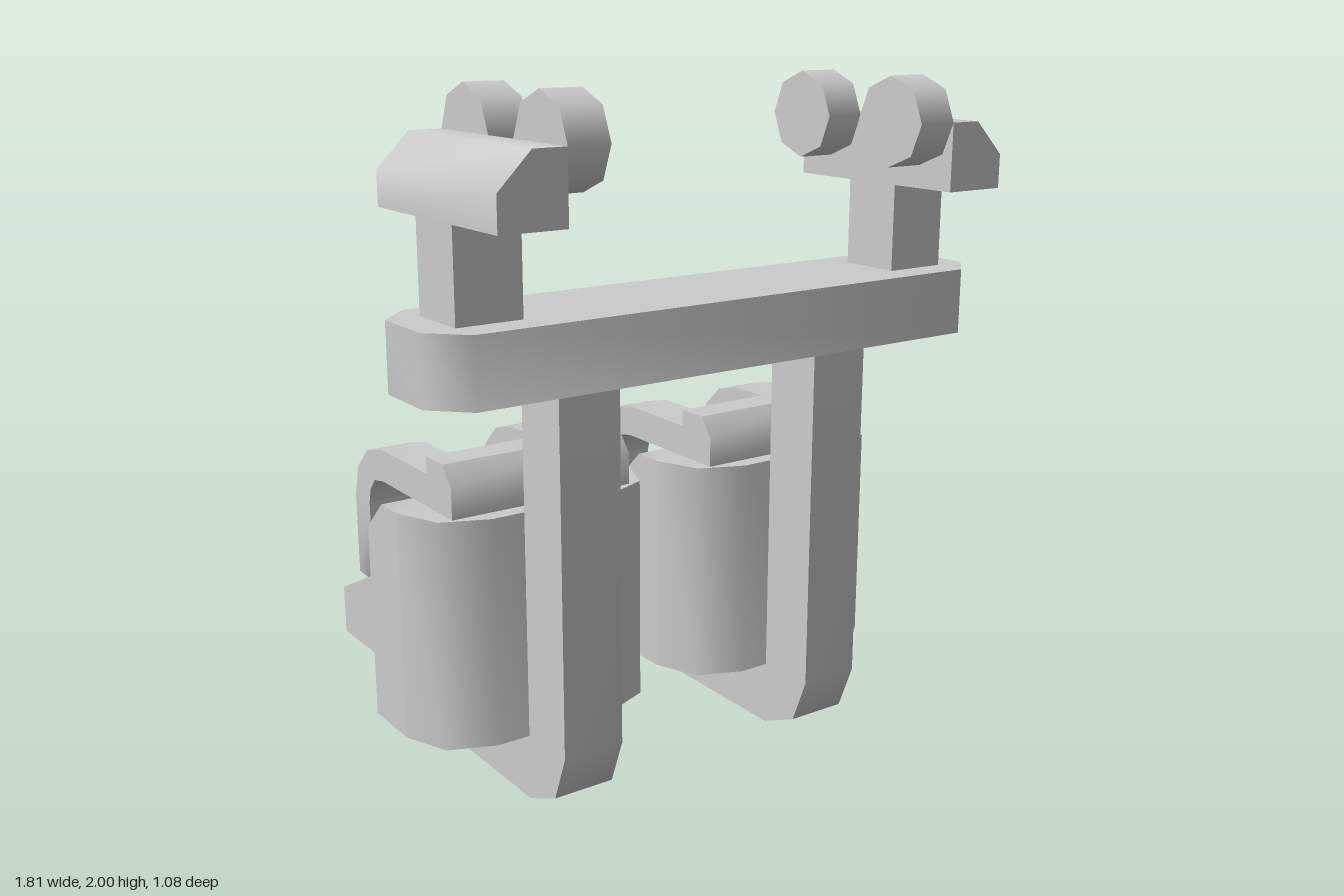
import * as THREE from 'three';
import { toCreasedNormals } from 'three/addons/utils/BufferGeometryUtils.js';

const material = new THREE.MeshStandardMaterial({ color: 0xcccccc });

function addMesh(parent, name, geometry, x = 0, y = 0, z = 0) {
  const mesh = new THREE.Mesh(geometry, material);
  mesh.name = name;
  mesh.position.set(x, y, z);
  parent.add(mesh);
  return mesh;
}

// Prism from an outline, centred on its extrusion axis; chamfers shade smoothly.
// axis 'x': outline is (z, y); axis 'y': outline is (x, z); axis 'z': outline is (x, y)
function prism(outline, depth, axis) {
  const shape = new THREE.Shape(outline.map(([u, v]) => new THREE.Vector2(u, v)));
  const geometry = new THREE.ExtrudeGeometry(shape, { depth, bevelEnabled: false });
  geometry.translate(0, 0, -depth / 2);
  if (axis === 'x') geometry.rotateY(-Math.PI / 2);
  if (axis === 'y') geometry.rotateX(Math.PI / 2);
  return toCreasedNormals(geometry, 0.85);
}

const box = (w, h, d) => new THREE.BoxGeometry(w, h, d);

function createCup() {
  const cup = new THREE.Group();
  cup.name = 'cup';

  // Front shell with rounded vertical corners
  addMesh(cup, 'cupFront', prism([
    [-0.38, -0.06], [-0.325, 0.075], [-0.19, 0.13],
    [0.19, 0.13], [0.325, 0.075], [0.38, -0.06],
  ], 0.665, 'y'), 0, 0.5275);

  // Floor that bulges out at the back
  addMesh(cup, 'cupFloor', prism([
    [-0.285, -0.06], [-0.285, -0.255], [-0.095, -0.445],
    [0.095, -0.445], [0.285, -0.255], [0.285, -0.06],
  ], 0.14, 'y'), 0, 0.265);

  const wall = prism([
    [-0.06, 0.195], [-0.06, 0.86], [-0.155, 0.86], [-0.25, 0.77], [-0.25, 0.62],
    [-0.445, 0.525], [-0.445, 0.385], [-0.25, 0.385], [-0.25, 0.195],
  ], 0.095, 'x');

  // Straps run back from the lid and bend down into the handle
  const strap = prism([
    [-0.06, 0.86], [-0.06, 0.955], [-0.345, 0.955], [-0.445, 0.93], [-0.513, 0.865],
    [-0.54, 0.77], [-0.445, 0.77], [-0.432, 0.815], [-0.4, 0.85], [-0.345, 0.86],
  ], 0.14, 'x');

  for (const side of [-1, 1]) {
    addMesh(cup, 'sideWall', wall, side * 0.3325);
    addMesh(cup, 'handleStrap', strap, side * 0.215);
  }

  // Lid bar across the top
  addMesh(cup, 'lid', prism([
    [0.08, 0.86], [0.08, 0.95], [0.035, 1.005], [-0.06, 1.005], [-0.06, 0.86],
  ], 0.57, 'x'));

  // U-shaped lower handle
  addMesh(cup, 'handleLoop', prism([
    [-0.285, 0.77], [-0.285, 0.525], [-0.145, 0.385], [0.145, 0.385],
    [0.285, 0.525], [0.285, 0.77], [0.145, 0.77], [0.145, 0.52],
    [-0.145, 0.52], [-0.145, 0.77],
  ], 0.095, 'z'), 0, 0, -0.4925);

  return cup;
}

export function createModel() {
  const model = new THREE.Group();
  model.name = 'harness';

  // Crossbar with chamfered ends
  addMesh(model, 'crossbar', prism([
    [-0.905, 0.13], [-0.81, 0.035], [0.81, 0.035], [0.905, 0.13],
    [0.905, 0.32], [0.81, 0.415], [-0.81, 0.415], [-0.905, 0.32],
  ], 0.19, 'y'), 0, 1.34);

  // L-shaped column with a foot under the cup
  const column = prism([
    [0.32, 1.245], [0.32, 0.2], [0.265, 0.06], [0.13, 0],
    [-0.345, 0], [-0.345, 0.195], [0.13, 0.195], [0.13, 1.245],
  ], 0.188, 'x');

  const roller = new THREE.CylinderGeometry(0.125, 0.125, 0.12, 8);
  roller.rotateZ(Math.PI / 2);

  for (const side of [-1, 1]) {
    addMesh(model, 'column', column, side * 0.428);

    const cup = createCup();
    cup.position.x = side * 0.43;
    model.add(cup);

    // Post, rail and paired rollers above the crossbar
    addMesh(model, 'post', box(0.19, 0.25, 0.19), side * 0.715, 1.56, 0.225);
    addMesh(model, 'rail', prism([
      [0.62, 1.685], [0.81, 1.685], [0.81, 1.78], [0.715, 1.875], [0.62, 1.875],
    ].map(([x, y]) => [side * x, y]), 0.625, 'z'), 0, 0, 0.2275);
    for (const z of [0.04, 0.415]) {
      addMesh(model, 'roller', roller, side * 0.56, 1.875, z);
    }
  }
  return model;
}
